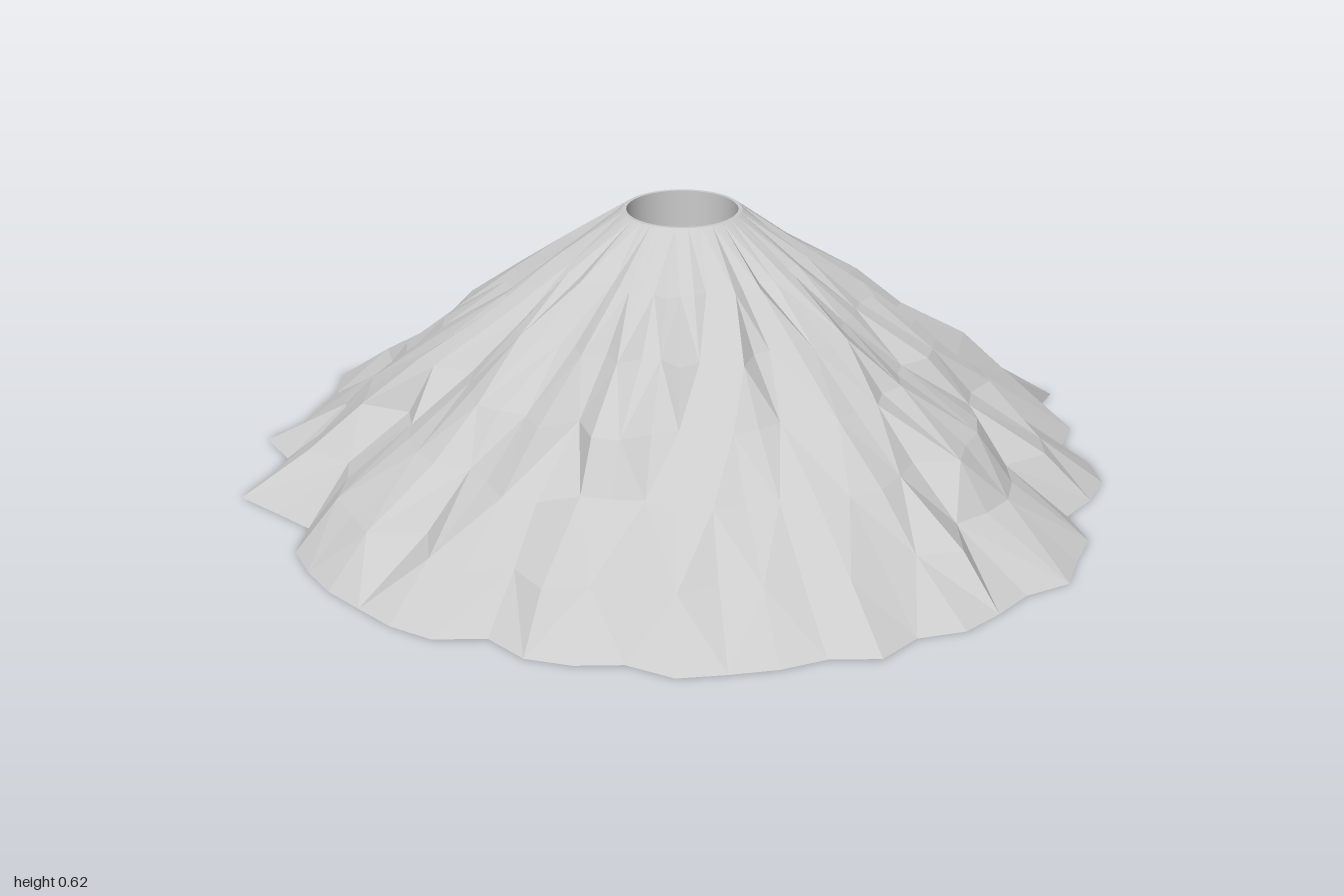
import * as THREE from 'three';

const SEGMENTS = 60, LEVELS = 6, HEIGHT = 0.62, CENTER_Z = -0.01;
const RIM = 0.134, HOLE = 0.125;

// Radius of the ragged foot every 6 degrees, from +x towards +z
const FOOT = [
  0.97, 0.98, 1.01, 0.97, 0.98, 0.99, 0.96, 1.0, 0.965, 0.98,
  0.985, 0.995, 0.95, 0.97, 0.97, 0.925, 0.98, 0.985, 0.975, 0.975,
  0.965, 0.95, 0.89, 0.94, 1.01, 0.95, 0.92, 0.99, 0.94, 0.94,
  0.945, 1.0, 0.965, 0.95, 0.88, 0.985, 1.01, 0.97, 0.9, 1.0,
  0.995, 0.99, 0.9, 0.92, 0.96, 0.91, 0.955, 0.93, 0.925, 0.93,
  0.935, 0.905, 0.995, 0.89, 0.95, 0.9, 0.945, 0.965, 0.94, 0.9,
];

function seededRandom(seed) {
  return () => {
    seed = (seed * 1664525 + 1013904223) % 4294967296;
    return seed / 4294967296;
  };
}

// Closed ring of points; radius is a function of the segment index
function ring(y, radius) {
  return Array.from({ length: SEGMENTS }, (_, i) => {
    const a = (i / SEGMENTS) * Math.PI * 2, r = radius(i);
    return [Math.cos(a) * r, y, Math.sin(a) * r + CENTER_Z];
  });
}

// Skin consecutive rings, alternating the diagonals for a rocky look
function skin(name, rings, flatShading) {
  const index = [];
  for (let k = 0; k < rings.length - 1; k++) {
    for (let i = 0; i < SEGMENTS; i++) {
      const j = (i + 1) % SEGMENTS;
      const a = k * SEGMENTS + i, b = k * SEGMENTS + j;
      const c = a + SEGMENTS, d = b + SEGMENTS;
      if ((i + k) % 2) index.push(a, c, b, b, c, d);
      else index.push(a, c, d, a, d, b);
    }
  }
  const geometry = new THREE.BufferGeometry();
  geometry.setAttribute('position', new THREE.Float32BufferAttribute(rings.flat(2), 3));
  geometry.setIndex(index);
  geometry.computeVertexNormals();
  const mesh = new THREE.Mesh(geometry, new THREE.MeshStandardMaterial({ color: 0xcccccc, flatShading }));
  mesh.name = name;
  return mesh;
}

export function createModel() {
  const group = new THREE.Group();
  group.name = 'volcano';
  const random = seededRandom(17);

  // Rocky slopes: straight cone with radial noise fading towards the rim
  const slopes = [];
  for (let k = 0; k <= LEVELS; k++) {
    const t = k / LEVELS;
    const noise = k === 0 || k === LEVELS ? 0 : 0.035 + 0.075 * (1 - t);
    slopes.push(ring(HEIGHT * t, (i) => {
      const foot = k === 0 ? FOOT[i] : 0.955 + (FOOT[i] - 0.955) * 0.5;
      return THREE.MathUtils.lerp(foot, RIM, t) + (random() - 0.5) * noise;
    }));
  }
  const holeTop = ring(HEIGHT, () => HOLE), holeBottom = ring(0, () => HOLE);

  group.add(
    skin('slopes', slopes, true),
    skin('craterRim', [slopes[LEVELS], holeTop], true),
    skin('vent', [holeTop, holeBottom], false),
    skin('underside', [holeBottom, slopes[0]], true),
  );
  return group;
}
